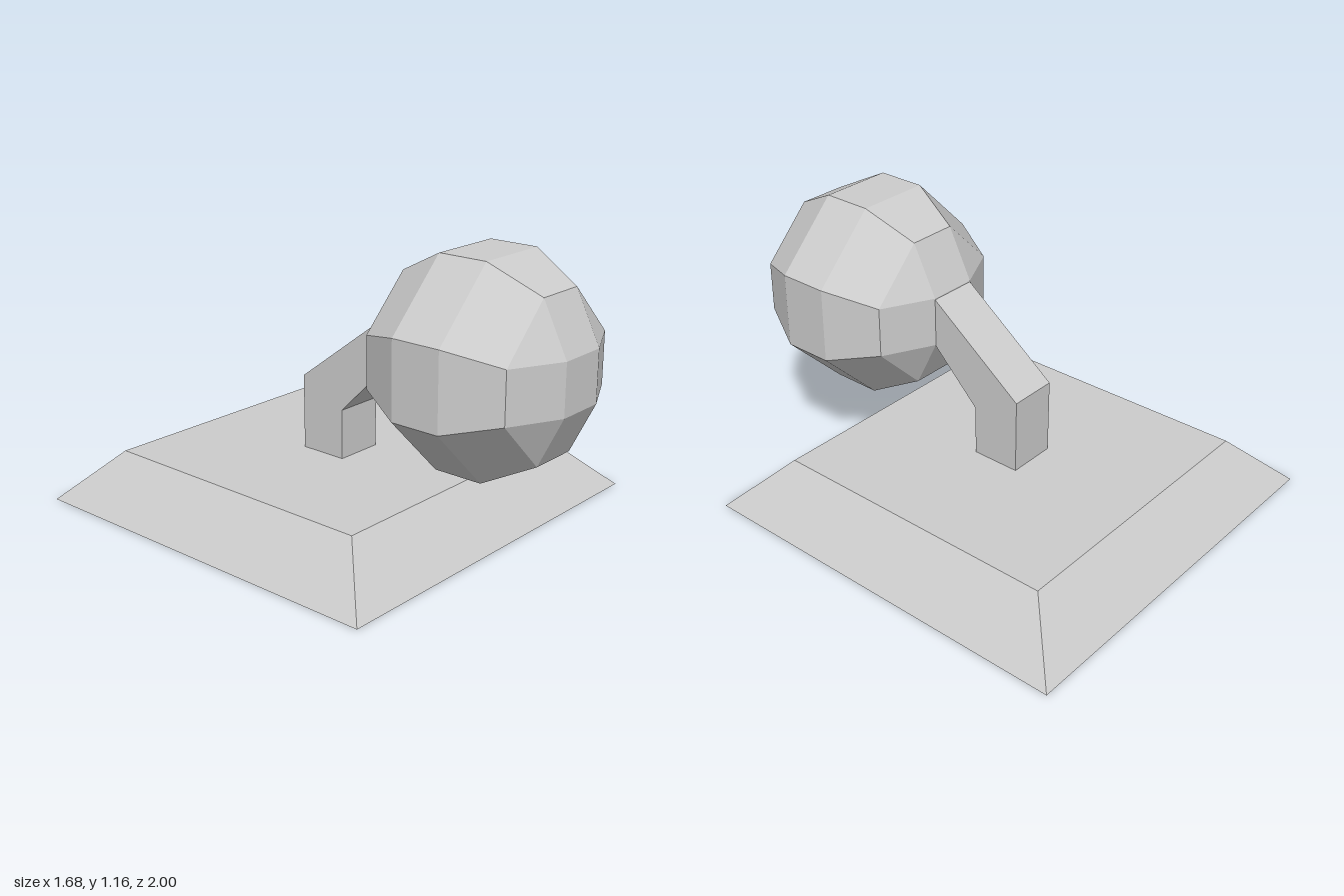
import * as THREE from 'three';

const V = (x, y, z) => new THREE.Vector3(x, y, z);

// Skins a list of rings (counter-clockwise about the direction of travel), with optional end caps
function loft(name, rings, { capStart = false, capEnd = false, side = THREE.FrontSide } = {}) {
  const pos = [];
  const tri = (a, b, c) => {
    const area = b.clone().sub(a).cross(c.clone().sub(a)).length();
    if (area > 1e-8) pos.push(...a.toArray(), ...b.toArray(), ...c.toArray());
  };
  const n = rings[0].length;
  for (let r = 0; r < rings.length - 1; r++) {
    const a = rings[r], b = rings[r + 1];
    for (let i = 0; i < n; i++) {
      const j = (i + 1) % n;
      tri(a[i], a[j], b[j]);
      tri(a[i], b[j], b[i]);
    }
  }
  const first = rings[0], last = rings[rings.length - 1];
  for (let i = 1; i < n - 1; i++) {
    if (capStart) tri(first[0], first[i + 1], first[i]);
    if (capEnd) tri(last[0], last[i], last[i + 1]);
  }
  const geo = new THREE.BufferGeometry();
  geo.setAttribute('position', new THREE.Float32BufferAttribute(pos, 3));
  geo.computeVertexNormals();
  const mesh = new THREE.Mesh(geo, new THREE.MeshStandardMaterial({ color: 0xcccccc, flatShading: true, side }));
  mesh.name = name;
  return mesh;
}

// Four-sided ring spanning -w..w, from a front edge (y, z) to a back edge (y, z)
const slab = (w, [fy, fz], [by, bz]) => [V(-w, fy, fz), V(w, fy, fz), V(w, by, bz), V(-w, by, bz)];

// Eight-sided ring in the xy plane with corners at (long, short) and (short, long)
const octagon = (long, short, z) => [
  [long, short], [short, long], [-short, long], [-long, short],
  [-long, -short], [-short, -long], [short, -long], [long, -short],
].map(([x, y]) => V(x, y, z));

export function createModel() {
  const group = new THREE.Group();
  const u = 0.105; // modelling unit

  // Sloped base plate, hollow underneath
  group.add(loft('base', [
    slab(8 * u, [0, 0.68], [0, -1]),
    slab(6 * u, [2 * u, 0.47], [2 * u, -0.79]),
  ], { capEnd: true, side: THREE.DoubleSide }));

  // Bent arm: upright post, then a tapering reach forward to the head
  group.add(loft('arm', [
    slab(u, [2 * u, -0.05], [2 * u, -0.26]),
    slab(u, [4 * u, -0.05], [5 * u, -0.26]),
    slab(u, [6 * u, 0.16], [8 * u, 0.16]),
  ], { side: THREE.DoubleSide }));

  // Faceted round head; the end rings collapse to squares
  const head = loft('head', [
    octagon(1, 1, -4), octagon(3, 1, -3), octagon(4, 1.5, -1),
    octagon(4, 1.5, 1), octagon(3, 1, 3), octagon(1, 1, 4),
  ], { capStart: true, capEnd: true });
  head.scale.setScalar(u);
  head.position.set(0, 0.74, 0.58);
  group.add(head);

  return group;
}
